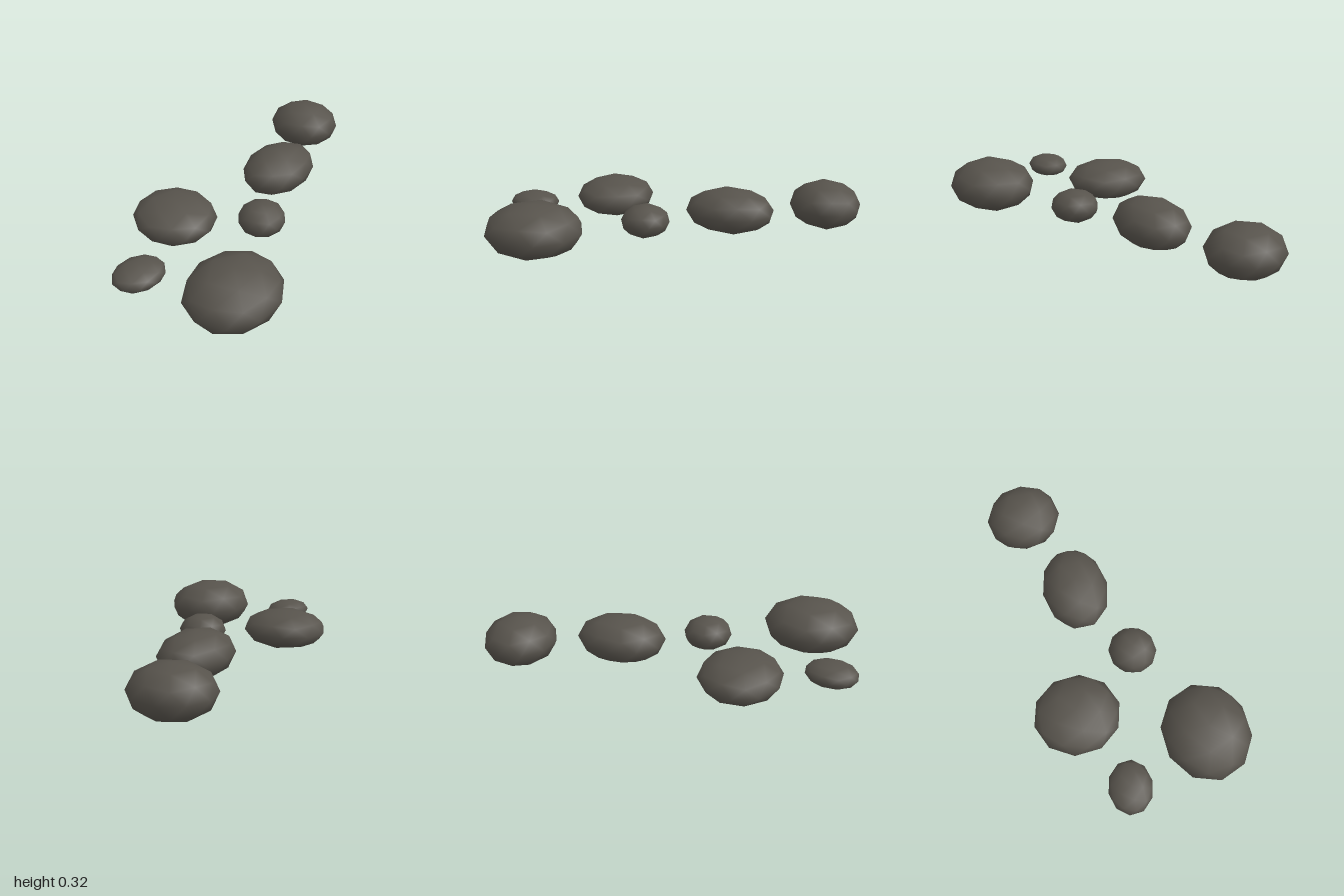
import * as THREE from 'three';
import { mergeVertices } from 'three/addons/utils/BufferGeometryUtils.js';

// Smooth-shaded low-poly ball, one vertex at each pole and ten around the equator
function makeBall() {
  const raw = new THREE.IcosahedronGeometry(1, 1);
  raw.deleteAttribute('normal');
  raw.deleteAttribute('uv');
  const ball = mergeVertices(raw, 1e-4);
  ball.rotateZ(Math.atan(2 / (1 + Math.sqrt(5)))); // bring a vertex to the top
  ball.rotateY(Math.PI / 10); // equator vertex on +x
  return ball;
}

// Each stone: centre, half height, and the two equator axes u and v as [x, z]
const STONES = [
  { name: 'smallLeftStone', at: [-0.845, 0.132, 0.147], h: 0.063, u: [0.154, -0.004], v: [-0.004, 0.128] },
  { name: 'backLeftStone', at: [-0.453, 0.15, -0.18], h: 0.112, u: [0.239, -0.005], v: [0.012, 0.252] },
  { name: 'frontLargeStone', at: [-0.51, 0.157, 0.56], h: 0.154, u: [0.266, 0.07], v: [-0.095, 0.251] },
  { name: 'smallMiddleStone', at: [-0.045, 0.155, 0.117], h: 0.096, u: [0.138, 0.032], v: [-0.035, 0.139] },
  { name: 'middleStone', at: [0.323, 0.172, -0.248], h: 0.133, u: [0.258, -0.013], v: [-0.029, 0.205] },
  { name: 'backRightStone', at: [0.785, 0.185, -0.608], h: 0.14, u: [0.213, 0.035], v: [-0.023, 0.22] },
];

export function createModel() {
  const group = new THREE.Group();
  group.name = 'steppingStones';
  const stoneGrey = new THREE.MeshStandardMaterial({ color: 0x57534c });
  stoneGrey.name = 'stoneGrey';
  const ball = makeBall();

  for (const { name, at, h, u, v } of STONES) {
    // Stretch the ball into a flattened pebble
    const shape = new THREE.Matrix4().makeBasis(
      new THREE.Vector3(u[0], 0, u[1]),
      new THREE.Vector3(0, h, 0),
      new THREE.Vector3(v[0], 0, v[1]),
    );
    const geometry = ball.clone().applyMatrix4(shape);
    geometry.computeVertexNormals();
    const stone = new THREE.Mesh(geometry, stoneGrey);
    stone.name = name;
    stone.position.set(...at);
    group.add(stone);
  }
  return group;
}
